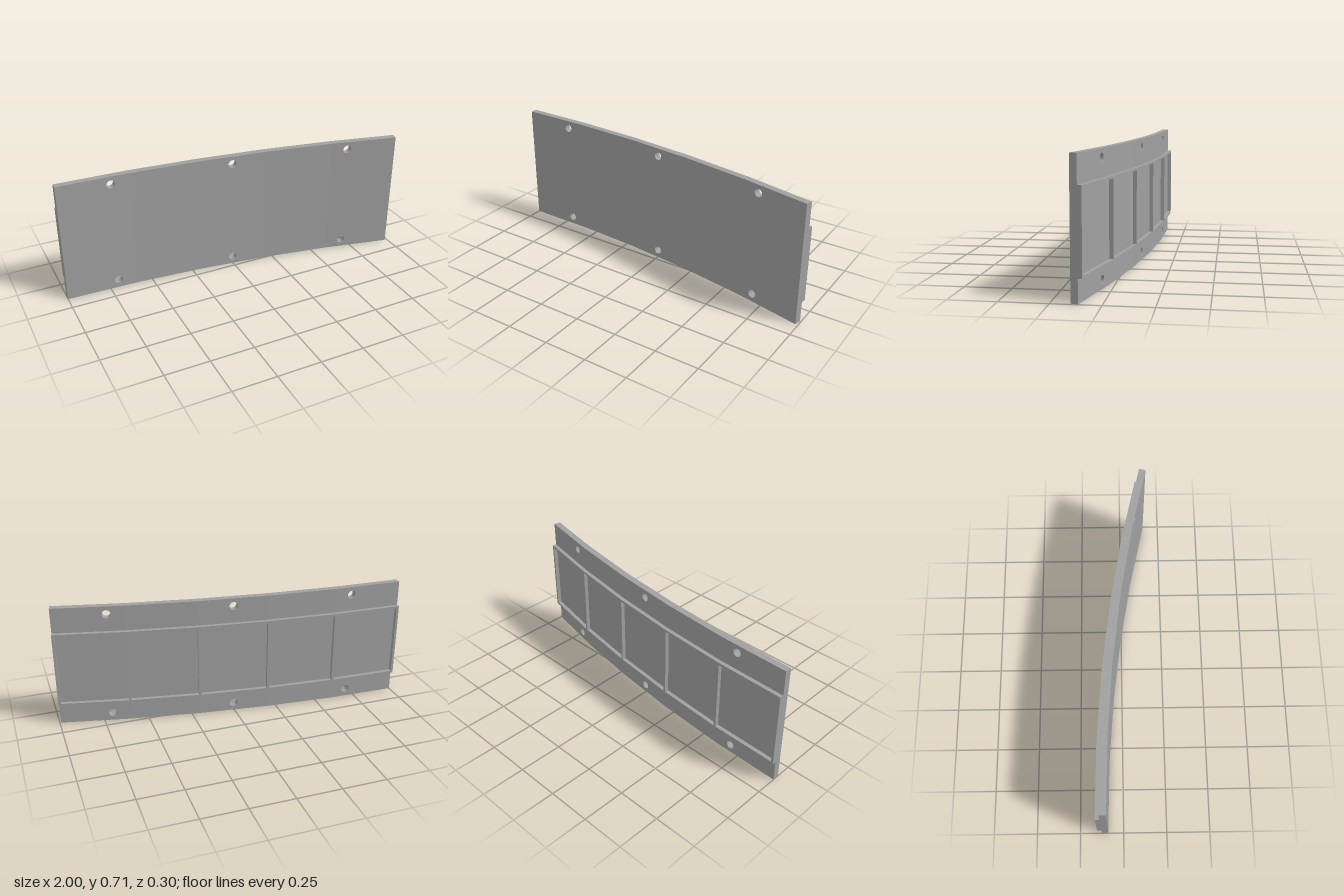
import * as THREE from 'three';
import { mergeGeometries } from 'three/addons/utils/BufferGeometryUtils.js';

const SEGMENTS = 5;
const ARC = 0.2418;                     // total bend angle
const RADIUS = 2 / Math.sin(ARC);       // radius of the outermost (rear) surface
const STEP = ARC / SEGMENTS;
const HEIGHT = 0.707;
const FRAME_DEPTH = 0.023, TOTAL_DEPTH = 0.0615;
const APOTHEM = RADIUS * Math.cos(STEP / 2);
const halfWidth = (depth) => (APOTHEM - depth) * Math.tan(STEP / 2);

function rectangle(PathType, x0, x1, y0, y1) {
  const p = new PathType();
  p.moveTo(x0, y0);
  p.lineTo(x1, y0);
  p.lineTo(x1, y1);
  p.lineTo(x0, y1);
  p.closePath();
  return p;
}

// One flat facet of the bend: extruded inward, mitred at its ends, then swung into place.
function facet(index, y0, y1, d0, d1, holes) {
  const w = halfWidth(d0);
  const shape = rectangle(THREE.Shape, -w, w, y0, y1);
  shape.holes.push(...holes);
  const source = new THREE.ExtrudeGeometry(shape, { depth: d1 - d0, bevelEnabled: false, curveSegments: 28 });
  const pos = source.attributes.position;
  const kept = [];
  for (let t = 0; t < pos.count; t += 3) {
    const side = (s) => [0, 1, 2].every((k) => Math.abs(pos.getX(t + k) - s * w) < 1e-5);
    // Skip the hidden joints between neighbouring facets
    if ((side(-1) && index > 0) || (side(1) && index < SEGMENTS - 1)) continue;
    for (let k = 0; k < 3; k++) {
      let x = pos.getX(t + k);
      const depth = d0 + pos.getZ(t + k);
      if (Math.abs(Math.abs(x) - w) < 1e-5) x = Math.sign(x) * halfWidth(depth);
      kept.push(x, pos.getY(t + k), depth - APOTHEM);
    }
  }
  const geometry = new THREE.BufferGeometry();
  geometry.setAttribute('position', new THREE.Float32BufferAttribute(kept, 3));
  geometry.rotateY(-(index + 0.5) * STEP);
  geometry.translate(-1, 0, RADIUS - 0.151);
  geometry.computeVertexNormals();
  return geometry;
}

export function createModel() {
  const model = new THREE.Group();
  model.name = 'curvedPanel';
  const grey = new THREE.MeshStandardMaterial({ color: 0xa0a0a0, flatShading: true });
  grey.name = 'plainGrey';

  const plateFacets = [], frameFacets = [];
  const boltFractions = [0.15, 0.5, 0.85];
  for (let i = 0; i < SEGMENTS; i++) {
    // Plate with bolt holes near its upper and lower edges
    const holes = [];
    for (const f of boltFractions) {
      const local = f * SEGMENTS - i;
      if (local < 0 || local >= 1) continue;
      for (const y of [0.048, 0.661]) {
        const hole = new THREE.Path();
        hole.absarc((local - 0.5) * 2 * halfWidth(0.04), y, 0.024, 0, Math.PI * 2, true);
        holes.push(hole);
      }
    }
    plateFacets.push(facet(i, 0, HEIGHT, FRAME_DEPTH, TOTAL_DEPTH, holes));

    // Raised rear frame: rails above and below, a divider at each joint
    const w = halfWidth(0);
    const left = i === 0 ? 0.014 : 0.007;
    const right = i === SEGMENTS - 1 ? 0.014 : 0.007;
    const pocket = rectangle(THREE.Path, -w + left, w - right, 0.134, 0.548);
    frameFacets.push(facet(i, 0.122, 0.561, 0, FRAME_DEPTH, [pocket]));
  }

  const plate = new THREE.Mesh(mergeGeometries(plateFacets), grey);
  plate.name = 'curvedPlate';
  const frame = new THREE.Mesh(mergeGeometries(frameFacets), grey);
  frame.name = 'rearFrame';
  model.add(plate, frame);
  return model;
}
